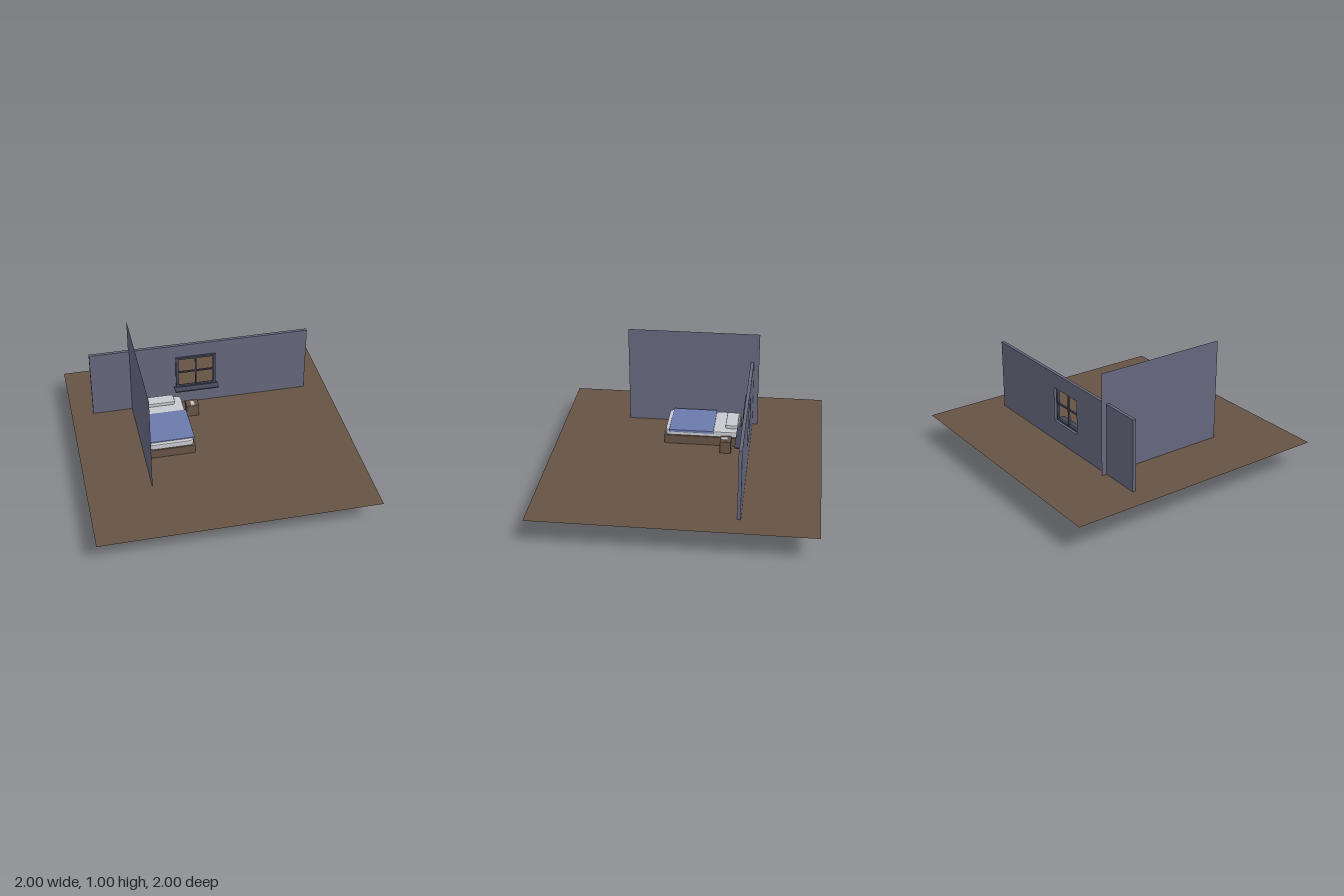
import * as THREE from 'three';
import { RoundedBoxGeometry } from 'three/addons/geometries/RoundedBoxGeometry.js';

const FLOOR = 0.24;

const material = (name, color, side = THREE.FrontSide) => {
  const m = new THREE.MeshStandardMaterial({ color, side });
  m.name = name;
  return m;
};

export function createModel() {
  const group = new THREE.Group();
  const wood = material('brown wood', 0x655245, THREE.DoubleSide);
  const paint = material('grey blue wall', 0x64667c, THREE.DoubleSide);
  const trim = material('dark window trim', 0x424757);
  const linen = material('white linen', 0xc6c8ce);
  const blue = material('blue blanket', 0x6a7aaa);

  const add = (name, geometry, mat, parent = group) => {
    const mesh = new THREE.Mesh(geometry, mat);
    mesh.name = name;
    parent.add(mesh);
    return mesh;
  };
  // Box given by its limits along each axis
  const box = (name, [x0, x1], [y0, y1], [z0, z1], mat, parent, radius = 0) => {
    const size = [x1 - x0, y1 - y0, z1 - z0];
    const g = radius ? new RoundedBoxGeometry(...size, 2, radius) : new THREE.BoxGeometry(...size);
    g.translate((x0 + x1) / 2, (y0 + y1) / 2, (z0 + z1) / 2);
    return add(name, g, mat, parent);
  };
  // Flat slab with rounded plan corners and softened upper and lower edges
  const slab = (name, [x0, x1], [y0, y1], [z0, z1], r, bevel, mat, parent) => {
    const w = (x1 - x0) / 2 - bevel, d = (z1 - z0) / 2 - bevel;
    const s = new THREE.Shape();
    s.moveTo(-w + r, -d);
    s.absarc(w - r, -d + r, r, -Math.PI / 2, 0);
    s.absarc(w - r, d - r, r, 0, Math.PI / 2);
    s.absarc(-w + r, d - r, r, Math.PI / 2, Math.PI);
    s.absarc(-w + r, -d + r, r, Math.PI, Math.PI * 1.5);
    const g = new THREE.ExtrudeGeometry(s, {
      depth: y1 - y0 - 2 * bevel, curveSegments: 4,
      bevelThickness: bevel, bevelSize: bevel, bevelSegments: 2,
    });
    g.rotateX(-Math.PI / 2);
    g.translate((x0 + x1) / 2, y0 + bevel, (z0 + z1) / 2);
    return add(name, g, mat, parent);
  };

  // Floor sheet and side wall sheet, which passes below the floor
  const floor = add('floor', new THREE.PlaneGeometry(2, 2).rotateX(-Math.PI / 2), wood);
  floor.position.y = FLOOR;
  const sideWall = add('sideWall', new THREE.PlaneGeometry(1, 1).rotateY(Math.PI / 2), paint);
  sideWall.position.set(-0.536, 0.5, 0);

  // Back wall with a window opening
  const rect = (Type, x0, x1, y0, y1) => new Type([
    [x0, y0], [x1, y0], [x1, y1], [x0, y1],
  ].map(([x, y]) => new THREE.Vector2(x, y)));
  const wallShape = rect(THREE.Shape, -0.835, 0.83, FLOOR, 0.77);
  wallShape.holes.push(rect(THREE.Path, -0.178, 0.108, 0.395, 0.656));
  const wall = add('backWall', new THREE.ExtrudeGeometry(wallShape, { depth: 0.024, bevelEnabled: false }), paint);
  wall.position.z = -0.46;

  // Window frame, glazing bars and sill
  const win = new THREE.Group();
  win.name = 'window';
  group.add(win);
  const frameShape = rect(THREE.Shape, -0.19, 0.117, 0.395, 0.665);
  frameShape.holes.push(rect(THREE.Path, -0.17, 0.098, 0.408, 0.65));
  const frame = add('windowFrame', new THREE.ExtrudeGeometry(frameShape, { depth: 0.02, bevelEnabled: false }), trim, win);
  frame.position.z = -0.44;
  box('verticalBar', [-0.041, -0.031], [0.405, 0.652], [-0.438, -0.424], trim, win);
  box('horizontalBar', [-0.172, 0.1], [0.525, 0.535], [-0.438, -0.424], trim, win);
  box('windowSill', [-0.204, 0.13], [0.388, 0.397], [-0.436, -0.365], trim, win);

  // Bed
  const bed = new THREE.Group();
  bed.name = 'bed';
  group.add(bed);
  slab('bedBase', [-0.508, -0.162], [FLOOR, 0.31], [-0.382, 0.183], 0.008, 0.003, wood, bed);
  slab('mattress', [-0.5, -0.17], [0.308, 0.353], [-0.376, 0.176], 0.025, 0.009, linen, bed);
  slab('blanket', [-0.509, -0.161], [0.338, 0.359], [-0.188, 0.148], 0.006, 0.004, blue, bed);
  slab('pillow', [-0.445, -0.229], [0.35, 0.38], [-0.366, -0.273], 0.012, 0.006, linen, bed);

  // Nightstand with a pale card on top
  const stand = new THREE.Group();
  stand.name = 'nightstand';
  group.add(stand);
  box('nightstandBody', [-0.145, -0.048], [FLOOR, 0.338], [-0.328, -0.245], wood, stand, 0.005);
  box('card', [-0.11, -0.082], [0.337, 0.342], [-0.298, -0.248], linen, stand);

  return group;
}
